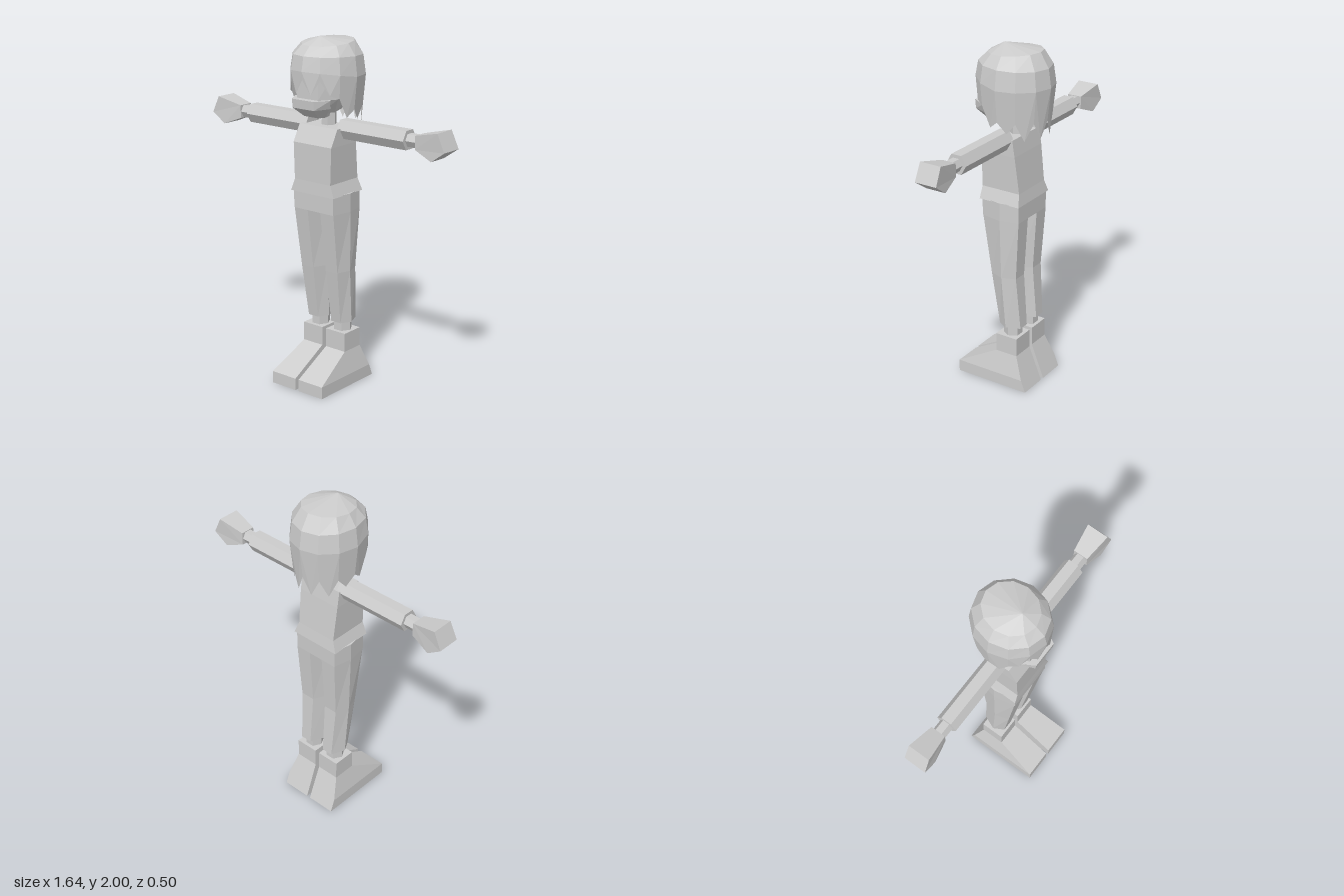
import * as THREE from 'three';

const material = new THREE.MeshStandardMaterial({ color: 0xcccccc });
material.name = 'plain grey';
const sheetMaterial = new THREE.MeshStandardMaterial({ color: 0xcccccc, side: THREE.DoubleSide });
sheetMaterial.name = 'plain grey sheet';

// Flat-faced mesh from a list of triangle corners
function facets(name, corners, mat = material) {
  const g = new THREE.BufferGeometry();
  g.setAttribute('position', new THREE.Float32BufferAttribute(corners.flat(), 3));
  g.computeVertexNormals();
  const mesh = new THREE.Mesh(g, mat);
  mesh.name = name;
  return mesh;
}

// Skin over cross-sections, closed at both ends; side = -1 mirrors in x
function loft(name, sections, side = 1) {
  const rings = sections.map((r) => {
    const m = r.map(([x, y, z]) => [x * side, y, z]);
    return side < 0 ? m.reverse() : m;
  });
  const out = [];
  const n = rings[0].length;
  for (let i = 0; i < rings.length - 1; i++) {
    const lo = rings[i], hi = rings[i + 1];
    for (let k = 0; k < n; k++) {
      const j = (k + 1) % n;
      out.push(lo[k], lo[j], hi[j], lo[k], hi[j], hi[k]);
    }
  }
  const first = rings[0], last = rings[rings.length - 1];
  for (let k = 1; k < n - 1; k++) {
    out.push(first[0], first[k + 1], first[k], last[0], last[k], last[k + 1]);
  }
  return facets(name, out);
}

// Horizontal rectangle
const rect = (y, x0, x1, z0, z1) => [[x0, y, z1], [x1, y, z1], [x1, y, z0], [x0, y, z0]];

// Horizontal hexagon: front and back edges plus a corner on each side
const hex = (y, fx0, fx1, x0, x1, zf, zm, zb) => [
  [fx0, y, zf], [fx1, y, zf], [x1, y, zm], [fx1, y, zb], [fx0, y, zb], [x0, y, zm],
];

// Hexagon across an arm
const armRing = (x, r) => Array.from({ length: 6 }, (_, k) => {
  const t = (k * Math.PI) / 3;
  return [x, 1.497 + r * Math.sin(t), -0.03 - r * Math.cos(t)];
});

function addLimbs(group, side) {
  const word = side > 0 ? 'left' : 'right';
  group.add(
    loft(word + 'Shoe', [
      rect(0, 0.012, 0.183, -0.215, 0.245),
      rect(0.07, 0.012, 0.183, -0.187, 0.245),
      rect(0.2, 0.014, 0.152, -0.135, 0.003),
      rect(0.31, 0.014, 0.152, -0.135, 0.003),
    ], side),
    loft(word + 'Ankle', [0.29, 0.38].map((y) =>
      hex(y, 0.055, 0.108, 0.03, 0.135, -0.02, -0.068, -0.115)), side),
    loft(word + 'TrouserLeg', [
      hex(0.365, 0.05, 0.117, 0.014, 0.15, 0, -0.06, -0.14),
      hex(0.68, 0.046, 0.13, 0.007, 0.157, 0.045, -0.036, -0.117),
      hex(1.03, 0.045, 0.14, 0, 0.163, 0.093, -0.03, -0.14),
    ], side),
    loft(word + 'Sleeve', [armRing(0.11, 0.06), armRing(0.555, 0.06)], side),
    loft(word + 'Wrist', [armRing(0.54, 0.039), armRing(0.63, 0.039)], side),
    // Fist: five-sided outline, narrower at the wrist
    loft(word + 'Hand', [-1, 1].map((d) =>
      [[0.62, 1.46, 0.043], [0.735, 1.415, 0.06], [0.82, 1.475, 0.066],
        [0.775, 1.572, 0.064], [0.62, 1.535, 0.043]]
        .map(([x, y, w]) => [x, y, -0.031 + d * w])), side),
  );
}

// Point on the hair at angle t from the front
function hairPoint(t, y, scale) {
  return [0.203 * scale * Math.sin(t), y, -0.03 + 0.222 * scale * Math.cos(t)];
}

function makeHair() {
  const n = 12, step = (Math.PI * 2) / n, out = [];
  const apex = [0, 2, 0.04];
  const ring = (f) => Array.from({ length: n }, (_, k) => f(k * step, Math.cos(k * step)));
  const rings = [
    ring((t, c) => hairPoint(t, 1.965 - 0.012 * c, 0.7)),
    ring((t, c) => hairPoint(t, 1.9 + 0.005 * c, 0.93)),
    ring((t, c) => hairPoint(t, 1.79 + 0.035 * Math.max(c, 0), 1)),
  ];
  // Crown
  for (let k = 0; k < n; k++) {
    const j = (k + 1) % n;
    out.push(apex, rings[0][k], rings[0][j]);
    for (let i = 0; i < 2; i++) {
      const hi = rings[i], lo = rings[i + 1];
      out.push(lo[k], lo[j], hi[j], lo[k], hi[j], hi[k]);
    }
  }
  // Pointed strands: short fringe, long sides and back
  const turn = (k) => Math.min(k, n - k);
  const notch = (k) => (turn(k) < 2 ? [1.78, 0.98] : turn(k) === 2 ? [1.68, 0.95] : [1.61, 0.91]);
  for (let k = 0; k < n; k++) {
    const j = (k + 1) % n;
    const m = Math.min(k + 0.5, n - k - 0.5);
    const [tipY, tipS] = m < 2 ? [1.7, 0.97] : m < 3 ? [1.57, 0.88] : m < 4 ? [1.55, 0.85] : [1.51, 0.87];
    const a = rings[2][k], b = rings[2][j];
    const va = hairPoint(k * step, ...notch(k));
    const vb = hairPoint((k + 1) * step, ...notch(j));
    const tip = hairPoint((k + 0.5) * step, tipY, tipS);
    out.push(a, va, tip, a, tip, b, b, tip, vb);
  }
  return facets('hair', out, sheetMaterial);
}

export function createModel() {
  const group = new THREE.Group();
  group.name = 'figure';
  addLimbs(group, 1);
  addLimbs(group, -1);

  group.add(
    loft('hips', [1.03, 1.135].map((y) =>
      hex(y, -0.14, 0.14, -0.163, 0.163, 0.097, -0.03, -0.14))),
    loft('shirt', [
      rect(1.13, -0.153, 0.153, -0.147, 0.108),
      rect(1.2, -0.127, 0.127, -0.135, 0.105),
      rect(1.41, -0.134, 0.134, -0.11, 0.105),
      rect(1.505, -0.134, 0.134, -0.095, 0.053),
    ]),
    loft('neck', [1.49, 1.63].map((y) =>
      hex(y, -0.022, 0.022, -0.042, 0.042, 0, -0.038, -0.076))),
    // Face and skull under the hair
    loft('head', [
      hex(1.59, -0.05, 0.05, -0.09, 0.09, 0.1, 0.02, -0.09),
      hex(1.67, -0.075, 0.075, -0.135, 0.135, 0.145, 0.05, -0.17),
      hex(1.86, -0.075, 0.075, -0.145, 0.145, 0.145, 0.05, -0.17),
    ]),
    // Jutting chin piece
    loft('jaw', [
      hex(1.565, -0.05, 0.05, -0.065, 0.065, 0.11, 0.07, 0.02),
      hex(1.62, -0.075, 0.075, -0.11, 0.11, 0.18, 0.09, 0.02),
      hex(1.67, -0.075, 0.075, -0.125, 0.125, 0.185, 0.1, 0.04),
    ]),
    makeHair(),
  );
  return group;
}
